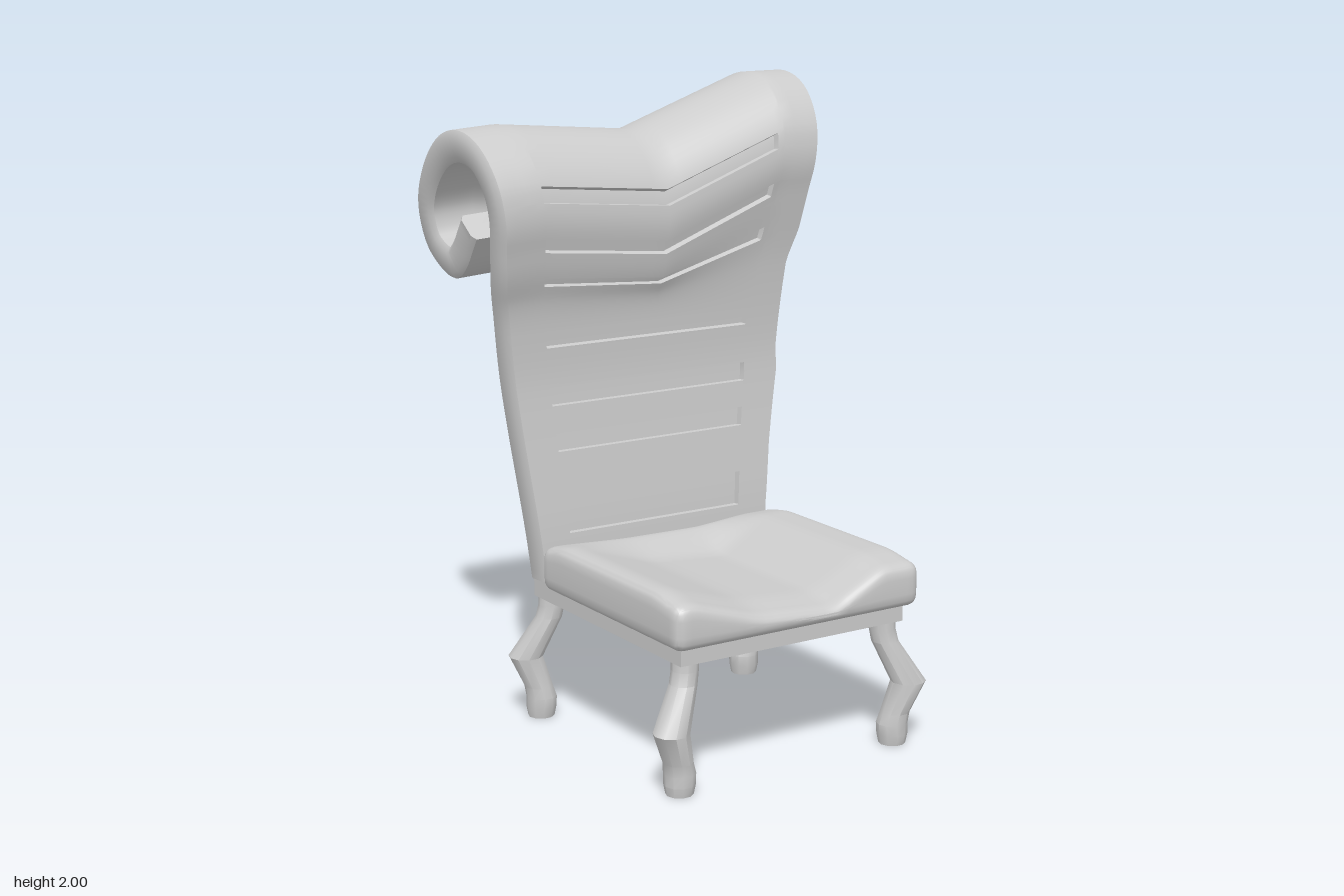
import * as THREE from 'three';
import { toCreasedNormals } from 'three/addons/utils/BufferGeometryUtils.js';

const material = new THREE.MeshStandardMaterial({ color: 0xcccccc });
const smooth = THREE.MathUtils.smoothstep;

function part(name, geometry) {
  const mesh = new THREE.Mesh(geometry, material);
  mesh.name = name;
  return mesh;
}

// Piecewise linear lookup in [[x, y], ...]
function lookup(table, x) {
  if (x <= table[0][0]) return table[0][1];
  for (let i = 1; i < table.length; i++) {
    const [x0, y0] = table[i - 1], [x1, y1] = table[i];
    if (x <= x1) return y0 + (y1 - y0) * (x - x0) / (x1 - x0);
  }
  return table[table.length - 1][1];
}

// Skin over closed rings of points
function loft(rings) {
  const n = rings[0].length, index = [];
  for (let i = 0; i < rings.length - 1; i++) {
    for (let j = 0; j < n; j++) {
      const a = i * n + j, b = i * n + (j + 1) % n;
      index.push(a, b, b + n, a, b + n, a + n);
    }
  }
  const g = new THREE.BufferGeometry();
  g.setAttribute('position', new THREE.Float32BufferAttribute(rings.flat(2), 3));
  g.setIndex(index);
  return toCreasedNormals(g, 0.65);
}

// Scrolled back: a thick sheet following a side profile, with recessed slots
function makeBack() {
  const HALF = 0.05, DEPTH = 0.02, EPS = 0.001, U0 = -0.745, U1 = 0.71;
  const profile = new THREE.SplineCurve([
    [-0.195, 0.46], [-0.205, 0.65], [-0.235, 0.95], [-0.243, 1.15], [-0.22, 1.4],
    [-0.175, 1.62], [-0.15, 1.74], [-0.17, 1.84], [-0.24, 1.92], [-0.34, 1.95],
    [-0.45, 1.925], [-0.55, 1.85], [-0.61, 1.76], [-0.615, 1.68], [-0.58, 1.61],
    [-0.49, 1.57], [-0.43, 1.6], [-0.375, 1.66], [-0.34, 1.7],
  ].map(([z, y]) => new THREE.Vector2(z, y)));
  profile.arcLengthDivisions = 600;

  const frontY = t => profile.getPointAt(t).y - HALF * profile.getTangentAt(t).x;
  const findT = y => {
    let lo = 0, hi = 0.58;
    for (let i = 0; i < 30; i++) {
      const mid = (lo + hi) / 2;
      if (frontY(mid) < y) lo = mid; else hi = mid;
    }
    return lo;
  };
  const slots = [[0.61, 0.715], [0.87, 0.925], [1.015, 1.07], [1.2, 1.25],
    [1.485, 1.525], [1.63, 1.67], [1.785, 1.83]].map(s => s.map(findT));

  const ts = [];
  for (let i = 0; i <= 100; i++) ts.push(i / 100);
  for (const [a, b] of slots) ts.push(a - EPS, a, b, b + EPS);
  ts.sort((a, b) => a - b);

  const us = [-1, -0.98, -0.75, 0, 0.76, 0.98, 1, U0 - 0.006, U0, U1, U1 + 0.006];
  for (let i = -11; i <= 11; i++) if (i) us.push(i / 12);
  us.sort((a, b) => a - b);

  const rightWidth = [[0.46, 0.41], [0.6, 0.415], [0.8, 0.44], [1.05, 0.485], [1.1, 0.48],
    [1.4, 0.505], [1.5, 0.54], [2, 0.605]];
  const sag = [[-1, -0.13], [-0.75, -0.12], [0, -0.16], [0.76, 0], [1, 0]];

  const ring = (t, thick) => {
    const c = profile.getPointAt(t), d = profile.getTangentAt(t);
    const inSlot = slots.some(([a, b]) => t >= a && t <= b);
    const weight = t > 0.5 ? 1 : smooth(c.y, 1.25, 1.63);
    const point = (u, side) => {
      let off = side * HALF * thick * (Math.abs(u) > 0.99 ? 0.65 : 1);
      if (side > 0 && inSlot && u >= U0 && u <= U1) off -= DEPTH;
      const y = c.y - d.x * off, z = c.x + d.y * off;
      const width = u < 0 ? 0.455 + (y - 0.6) * 0.122 : lookup(rightWidth, y);
      return [u * width, y + weight * lookup(sag, u), z];
    };
    return [...us.map(u => point(u, 1)), ...us.slice().reverse().map(u => point(u, -1))];
  };
  // Rings of zero thickness close both ends
  return part('back', loft([ring(0, 0), ...ts.map(t => ring(t, 1)), ring(1, 0)]));
}

// Cushion: rounded box with a hollow running out through the front edge
function makeSeat() {
  const half = [0.442, 0.075, 0.392], R = 0.035;
  const g = new THREE.BoxGeometry(2, 2, 2, 32, 8, 32);
  const pos = g.attributes.position;
  const dip = [[-0.4, 0], [-0.17, 0.07], [0.1, 0.09], [0.28, 0]];
  for (let i = 0; i < pos.count; i++) {
    const p = new THREE.Vector3(...[pos.getX(i), pos.getY(i), pos.getZ(i)]
      .map((a, k) => half[k] * Math.sin(a * Math.PI / 2)));
    const core = new THREE.Vector3(...p.toArray()
      .map((a, k) => THREE.MathUtils.clamp(a, R - half[k], half[k] - R)));
    p.sub(core).setLength(R).add(core);
    p.add(new THREE.Vector3(-0.022, 0.525, 0.262));
    const up = smooth(p.y, 0.47, 0.59);
    const edge = smooth(p.z, 0.5, 0.65) + 1 - smooth(p.z, -0.13, 0);
    const hollow = lookup(dip, p.x) * (0.15 + 0.85 * smooth(p.z, -0.12, 0.05));
    p.y += up * (0.006 - 0.018 * edge - hollow);
    pos.setXYZ(i, p.x, p.y, p.z);
  }
  g.deleteAttribute('normal');
  g.deleteAttribute('uv');
  return part('seat', toCreasedNormals(g, 0.8));
}

// Bent leg, splayed towards its corner: [y, outward x, outward z, radius]
function makeLeg(sx, sz) {
  const sections = [[0.012, 0.393, 0.405, 0], [0.012, 0.393, 0.405, 0.042], [0.03, 0.393, 0.405, 0.048],
    [0.065, 0.392, 0.404, 0.049], [0.1, 0.4, 0.408, 0.046], [0.2, 0.435, 0.427, 0.055],
    [0.33, 0.37, 0.39, 0.042], [0.37, 0.362, 0.386, 0.041], [0.43, 0.36, 0.385, 0.042]];
  const rings = sections.map(([y, x, z, r], k) => Array.from({ length: 10 }, (_, j) => {
    const a = j / 10 * Math.PI * 2;
    return [-0.02 + sx * x + r * Math.cos(a), k < 2 ? 0 : y, 0.18 + sz * z - r * Math.sin(a)];
  }));
  return part((sz > 0 ? 'front' : 'rear') + (sx > 0 ? 'LeftLeg' : 'RightLeg'), loft(rings));
}

export function createModel() {
  const chair = new THREE.Group();
  chair.name = 'chair';
  chair.add(makeBack(), makeSeat());

  // Flat frame under the cushion and back
  const frame = part('seatFrame', new THREE.BoxGeometry(0.81, 0.06, 0.85));
  frame.position.set(-0.018, 0.426, 0.183);
  chair.add(frame);

  for (const sx of [-1, 1]) for (const sz of [-1, 1]) chair.add(makeLeg(sx, sz));
  return chair;
}
